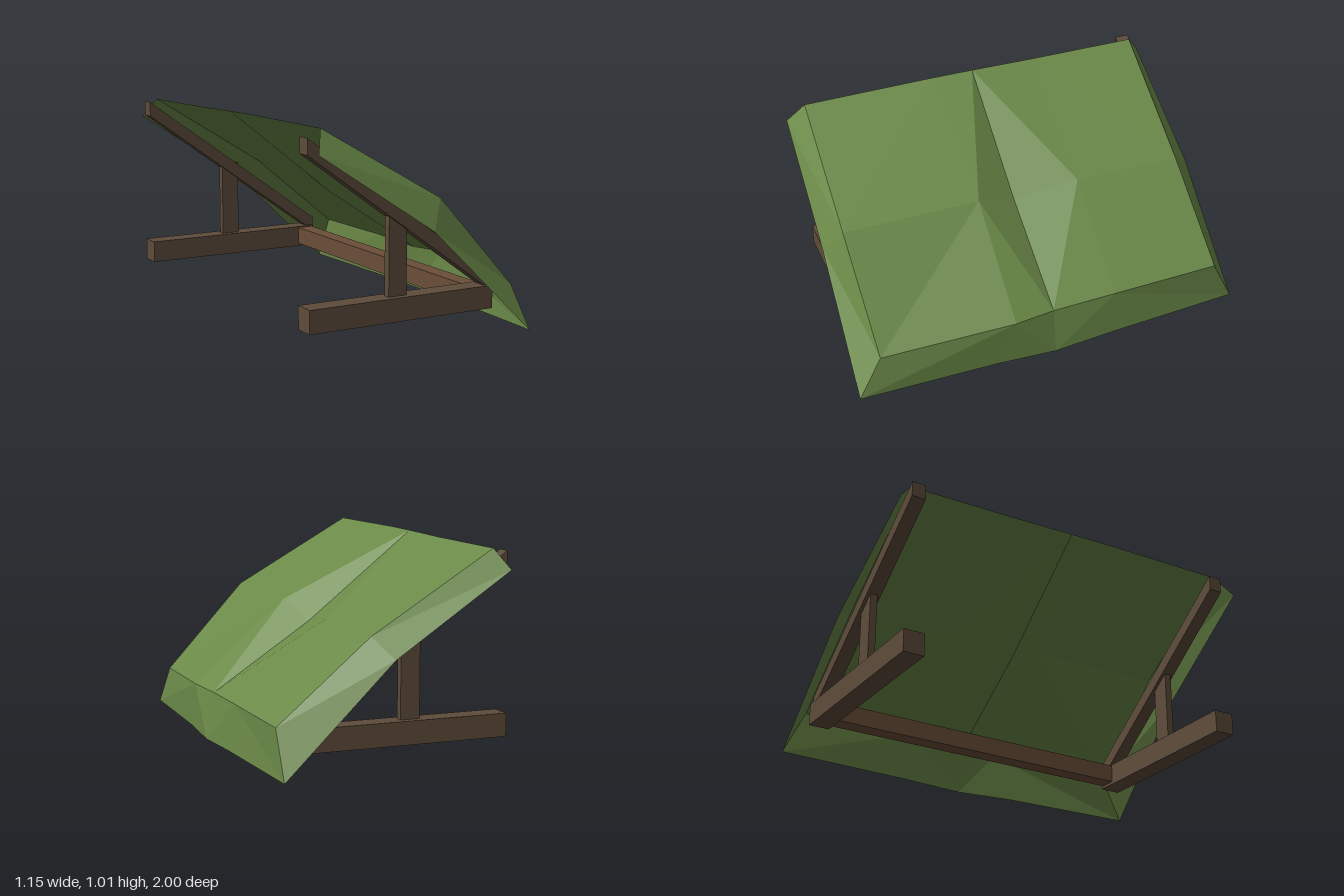
import * as THREE from 'three';

const cloth = new THREE.MeshStandardMaterial({ color: 0x6b8a48, side: THREE.DoubleSide, flatShading: true });
cloth.name = 'green canvas';
const wood = new THREE.MeshStandardMaterial({ color: 0x5e4c3b });
wood.name = 'dark wood';
const warmWood = new THREE.MeshStandardMaterial({ color: 0x6b4e39 });
warmWood.name = 'warm wood';

// Cloth sheet between rows of points; flips holds one digit per cell to choose its diagonal
function sheet(name, rows, flips) {
  const n = rows[0].length;
  const pos = [];
  for (let r = 0; r + 1 < rows.length; r++) {
    for (let c = 0; c + 1 < n; c++) {
      const a = rows[r][c], b = rows[r][c + 1], d = rows[r + 1][c], e = rows[r + 1][c + 1];
      const tris = flips[r][c] === '1' ? [a, d, b, b, d, e] : [a, d, e, a, e, b];
      tris.forEach(p => pos.push(...p));
    }
  }
  const g = new THREE.BufferGeometry();
  g.setAttribute('position', new THREE.Float32BufferAttribute(pos, 3));
  g.computeVertexNormals();
  const m = new THREE.Mesh(g, cloth);
  m.name = name;
  return m;
}

// Box given by its low and high corners
function beam(name, lo, hi, material = wood) {
  const m = new THREE.Mesh(new THREE.BoxGeometry(hi[0] - lo[0], hi[1] - lo[1], hi[2] - lo[2]), material);
  m.position.set((lo[0] + hi[0]) / 2, (lo[1] + hi[1]) / 2, (lo[2] + hi[2]) / 2);
  m.name = name;
  return m;
}

export function createModel() {
  const group = new THREE.Group();

  // Sagging tarp: rows run down the slope, columns from +z to -z
  const top = [[-0.52, 1.01, 0.88], [-0.52, 1.005, 0.22], [-0.52, 1.0, 0], [-0.52, 0.99, -0.33], [-0.52, 0.98, -0.89]];
  const mid = [[0.09, 0.66, 0.9], [0.09, 0.65, 0.21], [0.035, 0.56, 0], [0.07, 0.615, -0.33], [0.08, 0.605, -0.88]];
  const low = [[0.51, 0.21, 0.88], [0.565, 0.24, 0.21], [0.535, 0.23, 0], [0.54, 0.235, -0.33], [0.535, 0.23, -0.89]];
  const hem = [[0.535, 0.01, 1], [0.56, 0.01, 0.3], [0.575, 0, 0], [0.56, 0.005, -0.33], [0.535, 0.005, -1]];
  group.add(sheet('tarp', [top, mid, low], ['1100', '1011']));
  group.add(sheet('lowerFlap', [low, hem], ['1010']));

  // Side flaps hanging off both ends of the tarp
  const frontEdge = [[-0.575, 0.905, 0.965], [0.005, 0.525, 0.985], hem[0]];
  const backEdge = [[-0.575, 0.885, -0.965], [0.005, 0.51, -0.985], hem[4]];
  group.add(sheet('frontFlap', [frontEdge, [top[0], mid[0], low[0]]], ['00']));
  group.add(sheet('backFlap', [[top[4], mid[4], low[4]], backEdge], ['11']));

  // Rafter side outline with plumb-cut ends
  const outline = new THREE.Shape([[-0.58, 0.895], [0.4, 0.19], [0.4, 0.265], [-0.58, 0.97]]
    .map(p => new THREE.Vector2(...p)));

  // Two triangular frames: base beam, post and rafter
  for (const [side, z] of [['front', 0.84], ['back', -0.877]]) {
    const frame = new THREE.Group();
    frame.name = side + 'Frame';
    frame.add(beam('baseBeam', [-0.58, 0.11, z - 0.052], [0.395, 0.22, z + 0.052]));
    frame.add(beam('post', [-0.155, 0.22, z - 0.018], [-0.06, 0.61, z + 0.018]));
    const rafter = new THREE.Mesh(new THREE.ExtrudeGeometry(outline, { depth: 0.07, bevelEnabled: false }), wood);
    rafter.position.z = z - 0.035;
    rafter.name = 'rafter';
    frame.add(rafter);
    group.add(frame);
  }

  // Low bar joining the frames under the tarp
  group.add(beam('crossBar', [0.3, 0.125, -0.825], [0.385, 0.215, 0.79], warmWood));
  return group;
}
